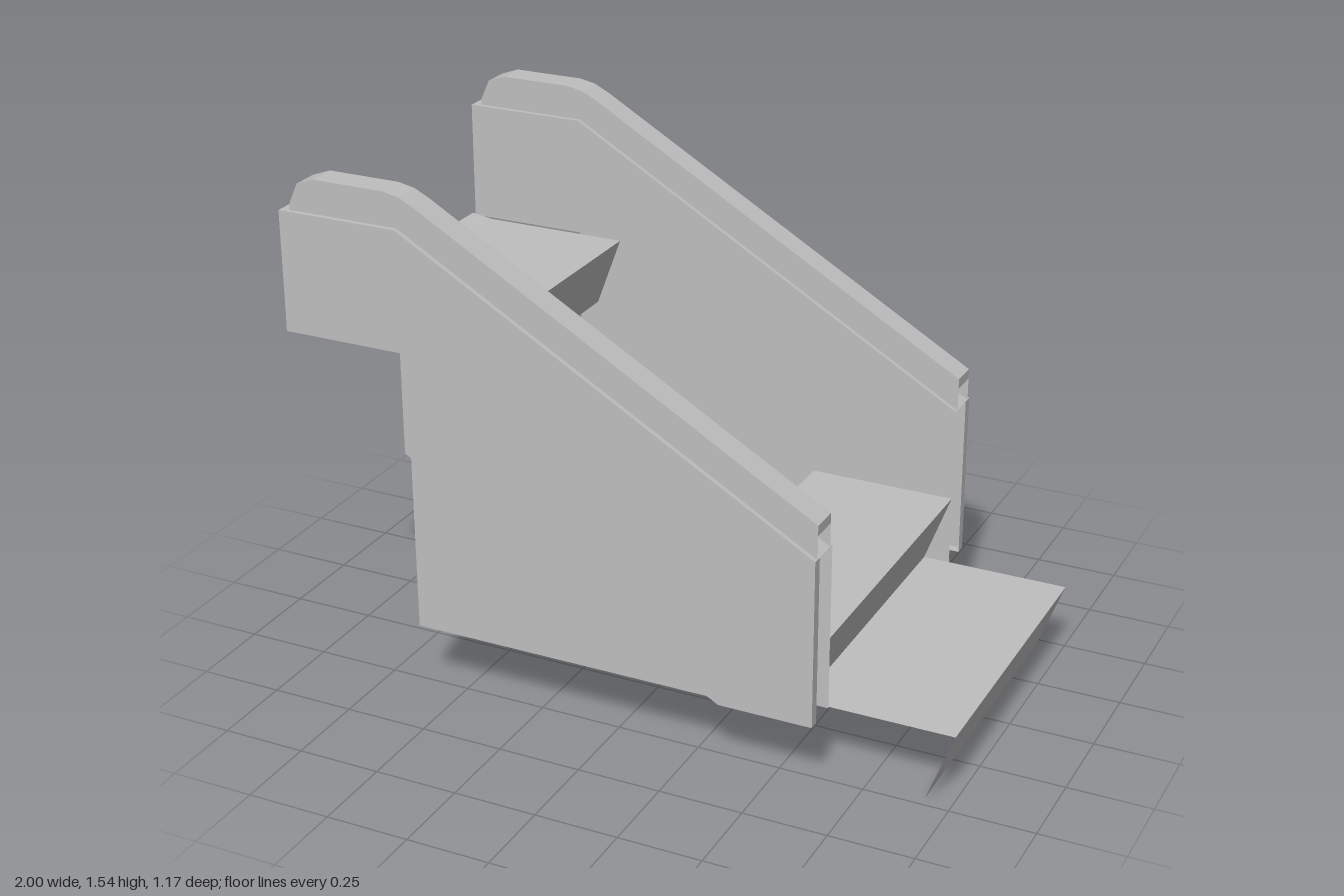
import * as THREE from 'three';

const grey = new THREE.MeshStandardMaterial({ color: 0xbebebe, side: THREE.DoubleSide });
grey.name = 'plain grey';

function named(geometry, name) {
  const mesh = new THREE.Mesh(geometry, grey);
  mesh.name = name;
  return mesh;
}

// flat upright sheet with an outline in x and y
function sheet(name, outline, z) {
  const shape = new THREE.Shape(outline.map(([x, y]) => new THREE.Vector2(x, y)));
  return named(new THREE.ShapeGeometry(shape).translate(0, 0, z), name);
}

// folded strip that follows a path in x and y and spans z0 to z1
function ribbon(name, path, z0, z1) {
  const positions = [];
  for (let i = 0; i + 1 < path.length; i++) {
    const [a, b] = [path[i], path[i + 1]];
    positions.push(...a, z0, ...a, z1, ...b, z1, ...a, z0, ...b, z1, ...b, z0);
  }
  const geometry = new THREE.BufferGeometry();
  geometry.setAttribute('position', new THREE.Float32BufferAttribute(positions, 3));
  geometry.computeVertexNormals();
  return named(geometry, name);
}

const INNER = 0.47, OUTER = 0.585, RECESS = 0.555;

function createSide(s) {
  const side = new THREE.Group();
  side.name = s > 0 ? 'leftSide' : 'rightSide';

  // hollow balustrade: two walls, cap, end and underside
  const wall = [[-0.99, 1.08], [-0.99, 1.44], [-0.62, 1.44], [0.63, 0.715],
    [0.63, 0.21], [0.35, 0.21], [-0.62, 0.775], [-0.62, 1.08]];
  side.add(sheet('outerWall', wall, s * OUTER));
  side.add(sheet('innerWall', wall, s * INNER));
  side.add(ribbon('wallCap', [wall[7], ...wall.slice(0, 4)], s * INNER, s * OUTER));
  side.add(ribbon('wallRim', wall.slice(3), s * RECESS, s * OUTER));

  // recessed triangular panel below the balustrade
  side.add(sheet('lowerPanel', [[-0.62, 0.21], [0.35, 0.21], [-0.62, 0.775]], s * RECESS));

  // hollow handrail
  const top = [[-0.965, 1.44], [-0.96, 1.465], [-0.935, 1.52], [-0.88, 1.54],
    [-0.66, 1.54], [-0.61, 1.53], [-0.565, 1.508], [0.63, 0.815]];
  const profile = [...top, [0.63, 0.715], [-0.62, 1.44]];
  const [r0, r1] = [0.485, 0.57];
  side.add(sheet('handrailInnerFace', profile, s * r0));
  side.add(sheet('handrailOuterFace', profile, s * r1));
  side.add(ribbon('handrailTop', [...top, [0.63, 0.785]], s * r0, s * r1));
  return side;
}

export function createModel() {
  const model = new THREE.Group();
  model.name = 'movingStairs';
  model.add(createSide(1), createSide(-1));

  // two lowest steps and the top step, each a tread with a raked riser
  const run = 0.37, rise = 0.215;
  for (const i of [0, 1, 4]) {
    const x = 1 - i * run, y = (i + 1) * rise;
    const step = new THREE.Group();
    step.name = 'step' + (i + 1);
    step.add(ribbon('tread', [[x - 0.45, y], [x, y]], INNER, -INNER));
    step.add(ribbon('riser', [[x, y], [x - 0.08, y - rise]], INNER, -INNER));
    model.add(step);
  }

  // narrow strip behind the top step
  model.add(ribbon('landingStrip', [[-1, 1.085], [-0.93, 1.075]], INNER, -INNER));
  return model;
}
